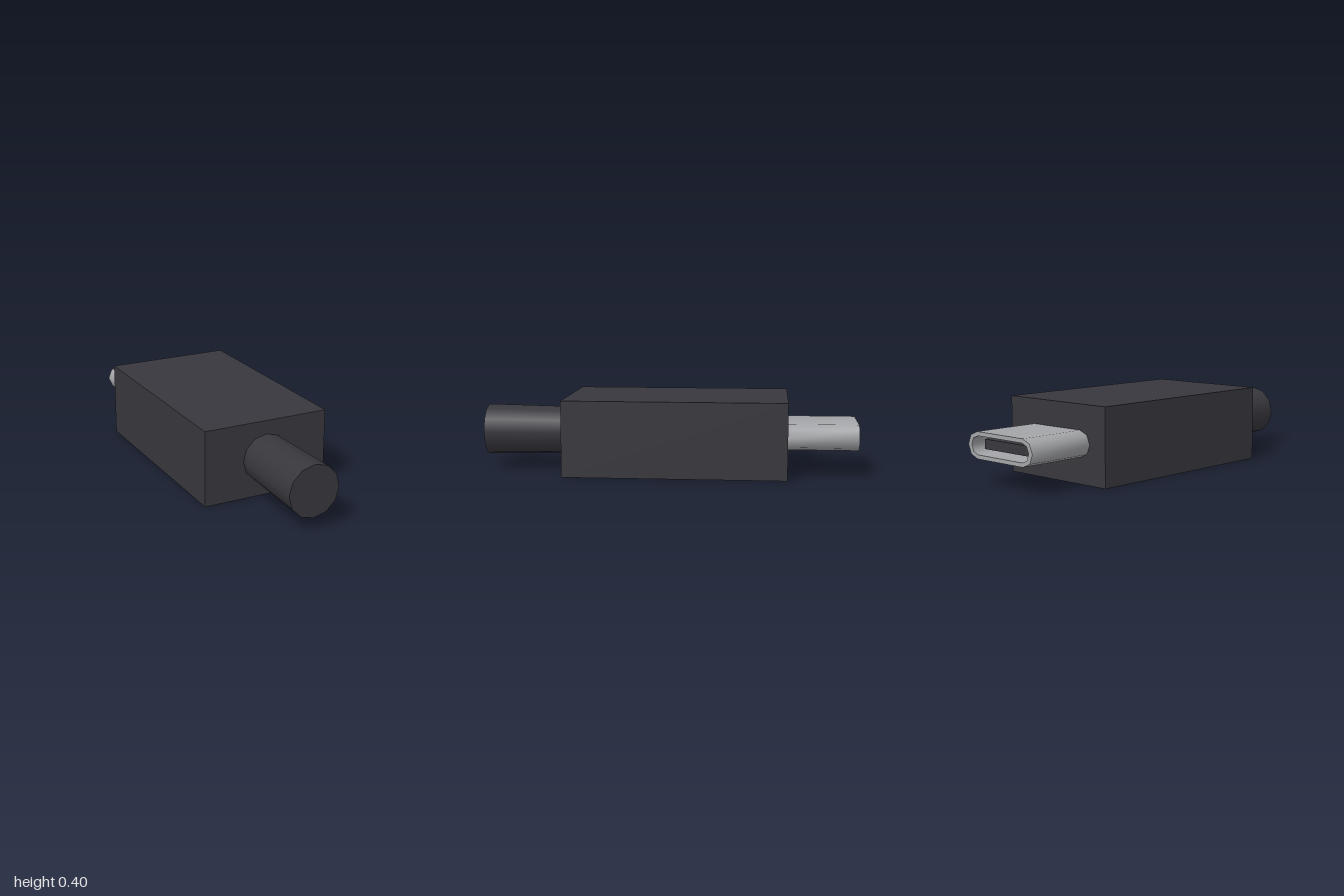
import * as THREE from 'three';
import { toCreasedNormals } from 'three/addons/utils/BufferGeometryUtils.js';

// Stadium outline: two half circles of radius r centred at x = -c and x = +c
function stadium(c, r, steps = 4) {
  const points = [];
  for (const side of [1, -1]) {
    for (let i = 0; i <= steps; i++) {
      const a = -Math.PI / 2 + (Math.PI * i) / steps;
      points.push(new THREE.Vector2(side * (c + r * Math.cos(a)), side * r * Math.sin(a)));
    }
  }
  return points;
}

export function createModel() {
  const model = new THREE.Group();
  const plastic = new THREE.MeshStandardMaterial({ color: 0x38373d });
  plastic.name = 'dark plastic';
  const metal = new THREE.MeshStandardMaterial({ color: 0xa4a5a8 });
  metal.name = 'grey metal';

  function add(name, geometry, material, y, z) {
    const mesh = new THREE.Mesh(geometry, material);
    mesh.name = name;
    mesh.position.set(0, y, z);
    model.add(mesh);
  }

  // Housing block
  add('housing', new THREE.BoxGeometry(0.684, 0.4, 1.17), plastic, 0.2, -0.045);

  // Cable stub, slightly wider at its free end
  const cable = new THREE.CylinderGeometry(0.137, 0.128, 0.46, 12).rotateX(Math.PI / 2);
  add('cable', cable, plastic, 0.201, 0.77);

  // Hollow metal plug shell, open at the back
  const outline = new THREE.Shape(stadium(0.168, 0.068));
  outline.holes.push(new THREE.Path(stadium(0.163, 0.047).reverse()));
  const shell = new THREE.ExtrudeGeometry(outline, { depth: 0.37, bevelEnabled: false });
  add('plugShell', toCreasedNormals(shell, 0.9), metal, 0.202, -1);

  // Contact tongue inside the shell
  add('contactTongue', new THREE.BoxGeometry(0.34, 0.05, 0.32), plastic, 0.202, -0.79);

  return model;
}
